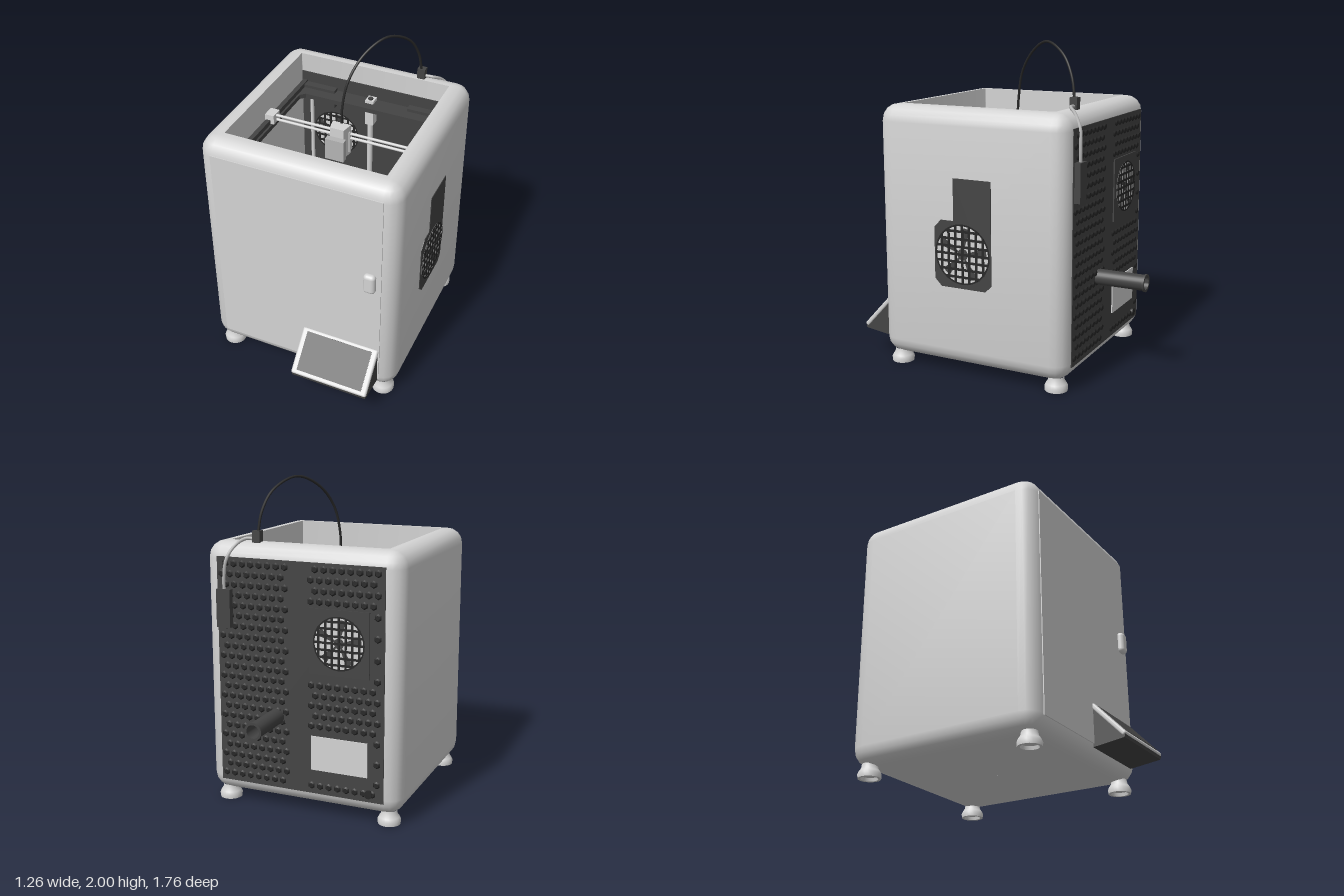
import * as THREE from 'three';
import { mergeGeometries, toCreasedNormals } from 'three/addons/utils/BufferGeometryUtils.js';
import { RoundedBoxGeometry } from 'three/addons/geometries/RoundedBoxGeometry.js';

const mat = (name, color, side = THREE.FrontSide) => {
  const m = new THREE.MeshStandardMaterial({ color, side });
  m.name = name;
  return m;
};

export function createModel() {
  const light = mat('lightGrey', 0xd4d4d4);
  const dark = mat('darkGrey', 0x444444);
  const black = mat('black', 0x282828, THREE.DoubleSide);
  const cableGrey = mat('cableGrey', 0xb4b4b4);
  const root = new THREE.Group();
  const CZ = 0.055; // centre of the cabinet in z

  const add = (name, geo, m, x = 0, y = 0, z = 0, parent = root) => {
    const mesh = new THREE.Mesh(geo, m);
    mesh.name = name;
    mesh.position.set(x, y, z);
    parent.add(mesh);
    return mesh;
  };
  // box given by its limits
  const box = (name, m, x0, x1, y0, y1, z0, z1, parent = root) =>
    add(name, new THREE.BoxGeometry(x1 - x0, y1 - y0, z1 - z0), m,
      (x0 + x1) / 2, (y0 + y1) / 2, (z0 + z1) / 2, parent);
  const cyl = (name, m, r, h, x, y, z, n = 20, parent = root) =>
    add(name, new THREE.CylinderGeometry(r, r, h, n), m, x, y, z, parent);
  const poly = pts => new THREE.Shape(pts.map(p => new THREE.Vector2(...p)));
  const extrude = (shape, depth) => new THREE.ExtrudeGeometry(shape, { depth, bevelEnabled: false });
  const tube = (name, m, pts, r) => add(name, new THREE.TubeGeometry(
    new THREE.CatmullRomCurve3(pts.map(p => new THREE.Vector3(...p))), 48, r, 8), m);

  // Cabinet: rounded-square loops up the outside, over the rim and down the inside
  const profile = [[0.001, 0.07, 0.0005]];
  for (let i = 0; i <= 4; i++) {
    const a = i / 4 * Math.PI / 2;
    profile.push([0.525 + 0.1 * Math.sin(a), 0.17 - 0.1 * Math.cos(a), 0.1 * Math.sin(a) + 0.002]);
  }
  for (let i = 0; i <= 4; i++) {
    const a = i / 4 * Math.PI / 2;
    profile.push([0.525 + 0.1 * Math.cos(a), 1.525 + 0.1 * Math.sin(a), 0.1 * Math.cos(a) + 0.002]);
  }
  profile.push([0.5, 1.625, 0.002], [0.5, 0.16, 0.002], [0.001, 0.16, 0.0005]);
  const pos = [], index = [], N = 20;
  profile.forEach(([h, y, r], i) => {
    for (let j = 0; j < N; j++) {
      const q = Math.floor(j / 5), a = (q + (j % 5) / 4) * Math.PI / 2;
      const sx = q === 0 || q === 3 ? 1 : -1, sz = q < 2 ? 1 : -1;
      pos.push(sx * (h - r) + r * Math.cos(a), y, CZ + sz * (h - r) + r * Math.sin(a));
      if (i < profile.length - 1) {
        const p = i * N + j, n = i * N + (j + 1) % N;
        index.push(p, p + N, n, p + N, n + N, n);
      }
    }
  });
  const shell = new THREE.BufferGeometry();
  shell.setAttribute('position', new THREE.Float32BufferAttribute(pos, 3));
  shell.setIndex(index);
  add('cabinet', toCreasedNormals(shell, 0.7), light, -0.003);

  // Feet with a hollow underside
  const footProfile = [[0.001, 0.02], [0.048, 0.02], [0.052, 0], [0.068, 0], [0.07, 0.025],
    [0.062, 0.042], [0.05, 0.06], [0.046, 0.085]].map(p => new THREE.Vector2(...p));
  const footGeo = toCreasedNormals(new THREE.LatheGeometry(footProfile, 24), 0.7);
  for (const x of [-0.533, 0.527]) for (const z of [-0.475, 0.59]) add('foot', footGeo, light, x, 0, z);

  // Door and handle
  box('door', light, -0.535, 0.53, 0.16, 1.537, 0.675, 0.684);
  add('doorHandle', new RoundedBoxGeometry(0.075, 0.135, 0.05, 4, 0.024), light, 0.463, 0.942, 0.692);

  // Slanted control screen
  const housing = extrude(poly([[0.67, 0.14], [0.87, 0.165], [0.875, 0.19], [0.68, 0.4], [0.67, 0.4]]), 0.49);
  housing.rotateY(-Math.PI / 2);
  add('screenHousing', housing, dark, 0.52);
  const screen = new THREE.Group();
  screen.name = 'controlScreen';
  screen.position.set(0.275, 0.296, 0.777);
  screen.rotation.x = -0.749;
  root.add(screen);
  add('screenBezel', new RoundedBoxGeometry(0.5, 0.295, 0.03, 2, 0.012), light, 0, 0, -0.007, screen);
  add('screenGlass', new THREE.BoxGeometry(0.43, 0.245, 0.006), dark, 0, 0.003, 0.008, screen);

  // Round fan grille facing +z: light openings, rotor and a lattice of bars
  const grille = (r, step, x, y, z, parent) => {
    const g = new THREE.Group();
    g.name = 'fanGrille';
    g.position.set(x, y, z);
    parent.add(g);
    add('grilleOpening', new THREE.CircleGeometry(r, 32), light, 0, 0, 0.001, g);
    add('fanHub', new THREE.CircleGeometry(r * 0.2, 20), dark, 0, 0, 0.002, g);
    for (let k = 0; k < 5; k++)
      add('fanBlade', new THREE.RingGeometry(r * 0.15, r * 0.9, 6, 1, k * Math.PI * 0.4, 0.35), dark, 0, 0, 0.0025, g);
    const n = Math.floor(r / step);
    for (let k = -n; k <= n; k++) {
      const len = 2 * Math.sqrt(r * r - (k * step) ** 2);
      add('grilleBar', new THREE.BoxGeometry(len, step * 0.32, 0.004), black, 0, k * step, 0.005, g);
      add('grilleBar', new THREE.BoxGeometry(step * 0.32, len, 0.004), black, k * step, 0, 0.005, g);
    }
    add('grilleRim', new THREE.RingGeometry(r * 0.97, r * 1.03, 32), black, 0, 0, 0.006, g);
  };

  // Side vent plate with fan
  const side = new THREE.Group();
  side.name = 'sideVent';
  side.position.x = 0.619;
  side.rotation.y = Math.PI / 2;
  root.add(side);
  add('ventPlate', extrude(poly([[-0.235, 0.56], [0.06, 0.56], [0.1, 0.6], [0.1, 1.22], [-0.15, 1.22],
    [-0.15, 0.965], [-0.235, 0.965], [-0.28, 0.92], [-0.28, 0.605]]), 0.007), dark, 0, 0, 0, side);
  grille(0.178, 0.046, -0.088, 0.77, 0.007, side);

  // Back panel; its local +z points backwards and local x is mirrored
  const back = new THREE.Group();
  back.name = 'backPanel';
  back.position.z = -0.567;
  back.rotation.y = Math.PI;
  root.add(back);
  box('backPlate', dark, -0.53, 0.53, 0.15, 1.54, 0, 0.006, back);
  const studs = [];
  for (let row = 0; row < 22; row++) for (let col = 0; col < 16; col++) {
    const c = col % 8, right = col > 7;
    const x = (right ? 0.075 : -0.5) + c * 0.055 + (row % 2) * 0.027, y = 0.2 + row * 0.062;
    if (right && x < 0.47 && ((y > 0.86 && y < 1.31) || (y > 0.26 && y < 0.55))) continue;
    const s = new THREE.CylinderGeometry(0.015, 0.024, 0.01, 6);
    s.rotateX(Math.PI / 2);
    s.translate(x, y, 0.01);
    studs.push(s);
  }
  add('backVentPattern', mergeGeometries(studs).toNonIndexed(), black, 0, 0, 0, back);
  box('backFanFrame', dark, 0.07, 0.44, 0.89, 1.28, 0, 0.014, back);
  grille(0.155, 0.042, 0.255, 1.085, 0.014, back);
  box('backLabel', light, 0.075, 0.43, 0.3, 0.51, 0, 0.013, back);
  const button = cyl('powerButton', black, 0.025, 0.02, 0.44, 0.2, 0.012, 20, back);
  button.rotation.x = Math.PI / 2;

  // Spool holder: hollow tube with an end flange
  const spool = new THREE.LatheGeometry([[0.04, 0], [0.048, 0], [0.048, 0.3], [0.054, 0.302],
    [0.054, 0.313], [0.04, 0.313], [0.04, 0]].map(p => new THREE.Vector2(...p)), 28);
  spool.rotateX(-Math.PI / 2);
  add('spoolHolder', toCreasedNormals(spool, 0.6), mat('spoolGrey', 0x444444, THREE.DoubleSide), 0.15, 0.6, -0.567);

  // Filament sensor, feed tube and cable
  box('cableBox', dark, 0.43, 0.52, 1.12, 1.35, -0.61, -0.56);
  box('tubeConnector', dark, 0.283, 0.332, 1.62, 1.69, -0.5, -0.455);
  tube('feedTube', black, [[0, 1.45, 0.05], [0, 1.63, 0.04], [0.025, 1.8, 0], [0.08, 1.93, -0.1],
    [0.165, 1.992, -0.235], [0.25, 1.92, -0.38], [0.29, 1.8, -0.45], [0.305, 1.67, -0.475]], 0.008);
  tube('cable', cableGrey, [[0.32, 1.64, -0.48], [0.38, 1.64, -0.485], [0.42, 1.61, -0.53],
    [0.46, 1.53, -0.58], [0.475, 1.42, -0.59], [0.475, 1.33, -0.59]], 0.01);

  // Inside: dark rear wall with fan, top frame, print bed
  box('innerRearWall', dark, -0.5, 0.5, 0.17, 1.5, -0.446, -0.438);
  grille(0.155, 0.042, -0.255, 1.085, -0.437, root);
  const frame = poly([[-0.5, -0.55], [0.5, -0.55], [0.5, 0.45], [-0.5, 0.45]]);
  frame.holes.push(new THREE.Path([[-0.45, -0.5], [-0.45, 0.29], [-0.42, 0.32], [0.42, 0.32],
    [0.45, 0.29], [0.45, -0.5]].map(p => new THREE.Vector2(...p))));
  const frameGeo = extrude(frame, 0.03);
  frameGeo.rotateX(-Math.PI / 2);
  add('topFrame', frameGeo, dark, 0, 1.38, 0);
  box('printBed', light, -0.44, 0.44, 0.4, 0.43, -0.31, 0.49);
  for (const s of [-1, 1]) {
    box('sideRail', dark, s * 0.478 - 0.015, s * 0.478 + 0.015, 1.41, 1.44, -0.44, 0.54);
    box('railCarriage', light, s * 0.468 - 0.03, s * 0.468 + 0.03, 1.415, 1.475, 0.01, 0.09);
    box('cornerBracket', light, s * 0.478 - 0.022, s * 0.478 + 0.022, 1.41, 1.43, 0.505, 0.548);
    cyl('cornerPulley', dark, 0.013, 0.02, s * 0.478, 1.43, 0.525);
    box('motor', dark, s * 0.36 - 0.11, s * 0.36 + 0.11, 1.3, 1.43, -0.437, -0.39);
    cyl('liftRod', light, 0.012, 1.2, s * 0.4, 0.78, -0.37, 12);
  }
  box('rearBracket', light, -0.028, 0.028, 1.25, 1.43, -0.437, -0.375);
  cyl('rearPulley', dark, 0.016, 0.02, 0, 1.43, -0.4);
  cyl('liftScrew', light, 0.018, 1.1, 0, 0.72, -0.4, 12);

  // Gantry rods and print head
  for (const y of [1.43, 1.46]) {
    const rod = cyl('gantryRod', light, 0.009, 1, 0, y, 0.05, 12);
    rod.rotation.z = Math.PI / 2;
  }
  const head = extrude(poly([[-0.06, -0.045], [0.06, -0.045], [0.045, -0.12], [-0.045, -0.12]]), 0.2);
  head.rotateX(-Math.PI / 2);
  add('printHead', head, light, 0, 1.32, 0);
  box('printHeadMount', light, -0.06, 0.06, 1.34, 1.48, 0.03, 0.07);
  box('printHeadCover', cableGrey, -0.06, 0.06, 1.32, 1.46, 0.12, 0.16);
  add('nozzle', new THREE.CylinderGeometry(0.025, 0.008, 0.05, 12), dark, 0, 1.3, 0.08);
  return root;
}
